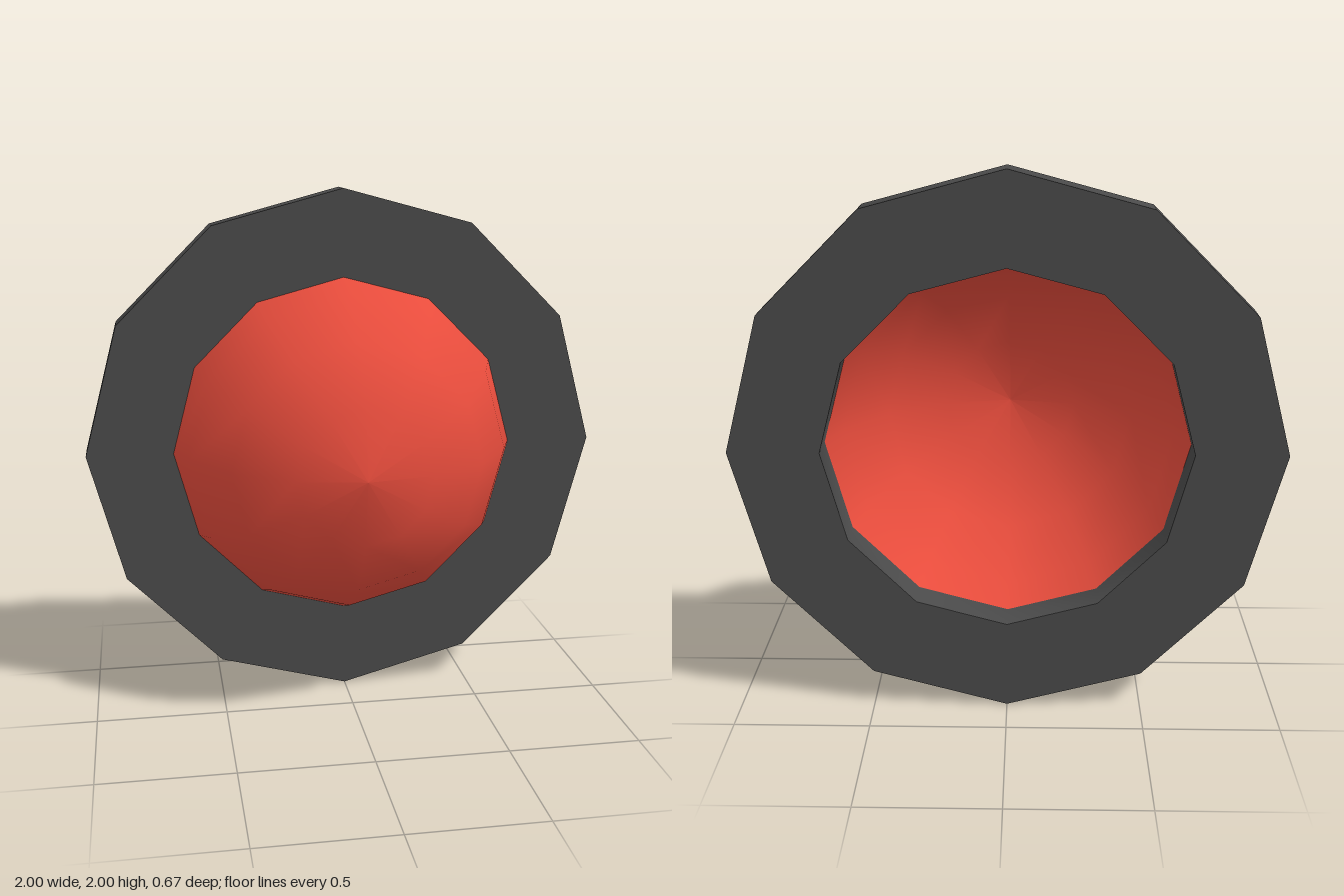
import * as THREE from 'three';
import { toCreasedNormals } from 'three/addons/utils/BufferGeometryUtils.js';

const SIDES = 12;
const OUTER = 1, INNER = 0.667;
const BACK = -0.333, FRONT = -0.207;

// regular polygon with a corner on the +x axis
function polygon(radius) {
  return Array.from({ length: SIDES }, (_, i) => {
    const a = (i / SIDES) * Math.PI * 2;
    return new THREE.Vector2(radius * Math.cos(a), radius * Math.sin(a));
  });
}

export function createModel() {
  const group = new THREE.Group();
  group.name = 'domeButton';

  // flat twelve-sided ring with an open middle
  const outline = new THREE.Shape(polygon(OUTER));
  outline.holes.push(new THREE.Path(polygon(INNER)));
  const ringGeometry = toCreasedNormals(
    new THREE.ExtrudeGeometry(outline, { depth: FRONT - BACK, bevelEnabled: false }), 0.8);
  const ring = new THREE.Mesh(ringGeometry, new THREE.MeshStandardMaterial({ color: 0x4a4a4a }));
  ring.name = 'ring';
  ring.position.set(0, 1, BACK);
  group.add(ring);

  // hollow dome rising from the ring's front edge: rim first, apex last
  const profile = [new THREE.Vector2(INNER, FRONT)];
  for (let i = 3; i >= 0; i--) {
    const a = (i * Math.PI) / 8;
    profile.push(new THREE.Vector2(INNER * Math.sin(a), BACK + INNER * Math.cos(a)));
  }
  const domeGeometry = new THREE.LatheGeometry(profile, SIDES).rotateX(Math.PI / 2);
  const dome = new THREE.Mesh(domeGeometry,
    new THREE.MeshStandardMaterial({ color: 0xe74c3c, side: THREE.DoubleSide }));
  dome.name = 'dome';
  dome.position.y = 1;
  group.add(dome);

  return group;
}
